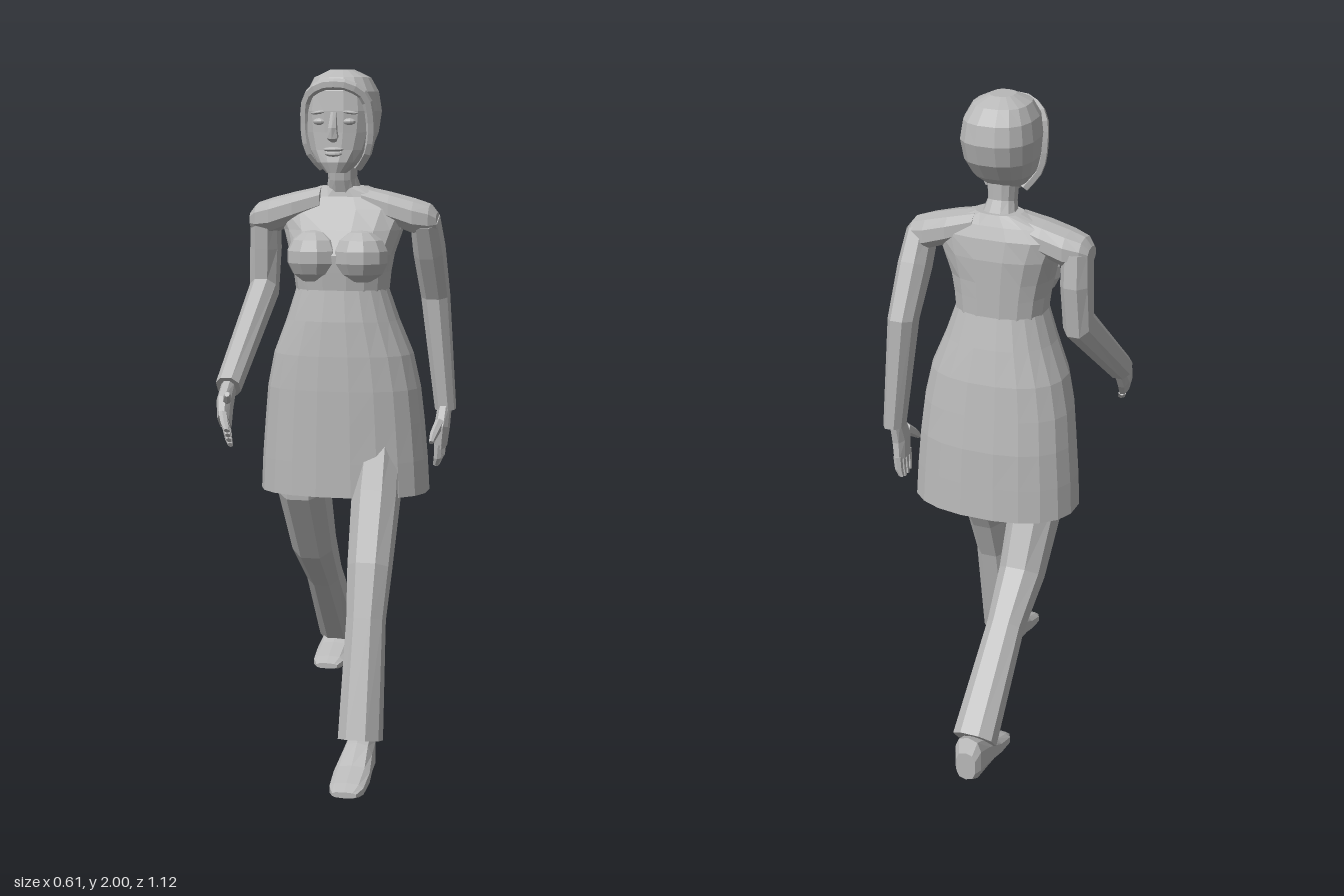
import * as THREE from 'three';

const V = (x, y, z) => new THREE.Vector3(x, y, z);
const X = V(1, 0, 0), Y = V(0, 1, 0), Z = V(0, 0, 1);
const grey = new THREE.MeshStandardMaterial({ color: 0xb8b8b8, side: THREE.DoubleSide });
grey.name = 'clay grey';

// Faceted mesh with a plain name
function part(name, geometry) {
  const g = geometry.index ? geometry.toNonIndexed() : geometry;
  g.computeVertexNormals();
  const mesh = new THREE.Mesh(g, grey);
  mesh.name = name;
  return mesh;
}

// Rounded-square ring around c, spanned by u and v
function ring(c, u, v, ru, rv, n, e = 0.85) {
  const round = (t) => Math.sign(t) * Math.pow(Math.abs(t), e);
  return Array.from({ length: n }, (_, i) => {
    const a = ((i + 0.5) / n) * Math.PI * 2;
    return c.clone().addScaledVector(u, ru * round(Math.cos(a))).addScaledVector(v, rv * round(Math.sin(a)));
  });
}

// Skin over a list of rings, turned outward
function loft(name, rings, capStart = true, capEnd = true) {
  const tris = [], n = rings[0].length;
  for (let r = 0; r < rings.length - 1; r++) {
    for (let i = 0; i < n; i++) {
      const j = (i + 1) % n;
      const a = rings[r][i], b = rings[r][j], c = rings[r + 1][j], d = rings[r + 1][i];
      tris.push([a, b, c], [a, c, d]);
    }
  }
  const cap = (pts, flip) => {
    const mid = pts.reduce((s, p) => s.add(p), V(0, 0, 0)).divideScalar(n);
    pts.forEach((p, i) => {
      const q = pts[(i + 1) % n];
      tris.push(flip ? [q, p, mid] : [p, q, mid]);
    });
  };
  if (capStart) cap(rings[0], true);
  if (capEnd) cap(rings[rings.length - 1], false);
  const centre = rings.flat().reduce((s, p) => s.add(p), V(0, 0, 0)).divideScalar(n * rings.length);
  let volume = 0;
  for (const [a, b, c] of tris) {
    volume += a.clone().sub(centre).dot(b.clone().sub(centre).cross(c.clone().sub(centre)));
  }
  if (volume < 0) tris.forEach((t) => t.reverse());
  return part(name, new THREE.BufferGeometry().setFromPoints(tris.flat()));
}

// Horizontal sections: [y, half width, front z, back z]
const body = (name, rows, n, capStart, capEnd, e) => loft(name, rows.map(([y, w, f, b]) =>
  ring(V(0, y, (f + b) / 2), X, Z, w, (f - b) / 2, n, e)), capStart, capEnd);

// Sections square to a path: [x, y, z, radius in x, radius across]
function limb(name, rows, n = 8) {
  const p = rows.map(([x, y, z]) => V(x, y, z));
  return loft(name, rows.map((row, i) => {
    const t = p[Math.min(i + 1, p.length - 1)].clone().sub(p[Math.max(i - 1, 0)]);
    return ring(p[i], X, t.cross(X).normalize(), row[3], row[4], n);
  }));
}

// Stretched low-poly ball
function ball(name, x, y, z, rx, ry, rz) {
  const mesh = part(name, new THREE.SphereGeometry(1, 10, 7).scale(rx, ry, rz));
  mesh.position.set(x, y, z);
  return mesh;
}

// Shoe: [z, bottom y, top y, half width]
function shoe(name, x, dy, dz) {
  const rows = [[0.31, 0.01, 0.1, 0.03], [0.33, 0, 0.14, 0.042], [0.39, 0, 0.115, 0.045],
    [0.46, 0.005, 0.07, 0.053], [0.53, 0, 0.042, 0.05], [0.56, 0.008, 0.025, 0.035]];
  return loft(name, rows.map(([z, b, t, w]) =>
    ring(V(x, (b + t) / 2 + dy, z + dz), X, Y, w, (t - b) / 2, 10, 0.7)));
}

export function createModel() {
  const model = new THREE.Group();
  model.name = 'walkingWoman';

  // Dress: open skirt, bodice, bust and shoulder caps
  model.add(body('skirt', [[1.37, 0.135, 0.14, -0.085], [1.28, 0.165, 0.152, -0.11], [1.18, 0.205, 0.158, -0.135],
    [1.08, 0.226, 0.16, -0.15], [0.98, 0.236, 0.16, -0.165], [0.87, 0.245, 0.16, -0.172],
    [0.77, 0.25, 0.16, -0.178]], 20, false, false));
  model.add(body('bodice', [[1.36, 0.135, 0.138, -0.085], [1.42, 0.142, 0.145, -0.085], [1.47, 0.152, 0.15, -0.085],
    [1.54, 0.175, 0.115, -0.085], [1.6, 0.2, 0.08, -0.075], [1.635, 0.15, 0.06, -0.06],
    [1.665, 0.07, 0.055, -0.045]], 16, false, true));
  for (const [side, s] of [['left', 1], ['right', -1]]) {
    model.add(ball(side + 'Bust', s * 0.068, 1.465, 0.1, 0.082, 0.078, 0.078));
    const rows = [[0.06, 1.625, 0.04, 0.06], [0.14, 1.6, 0.048, 0.072], [0.21, 1.578, 0.052, 0.07],
      [0.255, 1.57, 0.045, 0.055], [0.275, 1.565, 0.025, 0.035]];
    model.add(loft(side + 'Shoulder', rows.map(([x, y, ry, rz]) =>
      ring(V(s * x, y, s < 0 ? 0.015 : 0), Z, Y, rz, ry, 10))));
  }

  // Trousers and shoes in mid-stride
  model.add(limb('leftLeg', [[0.12, 1.0, 0.02, 0.06, 0.08], [0.118, 0.77, 0.112, 0.07, 0.082],
    [0.12, 0.58, 0.21, 0.064, 0.07], [0.12, 0.44, 0.26, 0.056, 0.062], [0.122, 0.11, 0.345, 0.063, 0.076]]));
  model.add(limb('rightLeg', [[-0.115, 1.0, 0.02, 0.07, 0.09], [-0.125, 0.77, -0.005, 0.075, 0.095],
    [-0.12, 0.58, -0.11, 0.066, 0.072], [-0.118, 0.46, -0.235, 0.054, 0.056],
    [-0.125, 0.22, -0.485, 0.064, 0.062]]));
  model.add(shoe('leftShoe', 0.122, 0, 0), shoe('rightShoe', -0.128, 0.12, -0.87));

  // Sleeves: left arm swings back, right arm reaches forward
  model.add(limb('leftSleeve', [[0.238, 1.57, 0.0, 0.042, 0.06], [0.243, 1.48, -0.045, 0.046, 0.062],
    [0.25, 1.34, -0.115, 0.042, 0.056], [0.28, 1.0, -0.127, 0.031, 0.042]]));
  model.add(limb('rightSleeve', [[-0.235, 1.57, 0.01, 0.042, 0.06], [-0.238, 1.48, 0.0, 0.044, 0.06],
    [-0.242, 1.36, 0.005, 0.042, 0.055], [-0.272, 1.105, 0.3, 0.036, 0.04]]));

  // Hands with thumb and fingers
  model.add(limb('leftHand', [[0.28, 1.02, -0.12, 0.02, 0.028], [0.275, 0.95, -0.095, 0.022, 0.044],
    [0.27, 0.89, -0.1, 0.018, 0.044]]));
  model.add(limb('leftThumb', [[0.272, 0.965, -0.07, 0.014, 0.018], [0.262, 0.935, -0.03, 0.012, 0.014],
    [0.258, 0.915, -0.008, 0.007, 0.008]], 6));
  model.add(limb('rightHand', [[-0.272, 1.11, 0.29, 0.02, 0.028], [-0.27, 1.06, 0.345, 0.022, 0.044],
    [-0.26, 1.015, 0.385, 0.018, 0.042]]));
  model.add(limb('rightThumb', [[-0.265, 1.075, 0.355, 0.014, 0.018], [-0.25, 1.085, 0.39, 0.012, 0.014],
    [-0.243, 1.1, 0.415, 0.007, 0.008]], 6));
  for (let i = 0; i < 4; i++) {
    const k = i - 1.5;
    model.add(limb('leftFinger', [[0.27, 0.9, -0.1 + k * 0.022, 0.013, 0.012],
      [0.266, 0.86, -0.103 + k * 0.021, 0.012, 0.011],
      [0.258, 0.83 + Math.abs(k) * 0.006, -0.108 + k * 0.018, 0.008, 0.008]], 6));
    model.add(limb('rightFinger', [[-0.26, 1.02 + k * 0.016, 0.38 + k * 0.014, 0.013, 0.012],
      [-0.248, 0.996 + k * 0.016, 0.408 + k * 0.013, 0.012, 0.011],
      [-0.236, 0.98 + k * 0.015, 0.43 + k * 0.012, 0.008, 0.008]], 6));
  }

  // Neck and head
  model.add(limb('neck', [[0, 1.77, 0.035, 0.045, 0.05], [0, 1.69, 0.028, 0.041, 0.044],
    [0, 1.65, 0.01, 0.052, 0.046], [0, 1.61, 0.0, 0.09, 0.055]], 12));
  model.add(body('head', [[1.705, 0.028, 0.15, 0.07], [1.735, 0.06, 0.158, 0.0], [1.77, 0.086, 0.15, -0.05],
    [1.82, 0.102, 0.148, -0.088], [1.88, 0.109, 0.148, -0.105], [1.935, 0.101, 0.142, -0.095],
    [1.975, 0.08, 0.115, -0.06], [1.997, 0.035, 0.07, -0.01]], 16, true, true, 0.82));

  // Hair edge framing the face
  const arch = [[-0.05, 1.72, 0.06], [-0.085, 1.77, 0.085], [-0.094, 1.85, 0.098], [-0.082, 1.92, 0.115],
    [-0.04, 1.95, 0.136], [0, 1.955, 0.14]].map((p) => V(...p));
  const path = arch.concat(arch.slice(0, -1).reverse().map((p) => V(-p.x, p.y, p.z)));
  model.add(part('hairEdge', new THREE.TubeGeometry(new THREE.CatmullRomCurve3(path), 22, 0.016, 6)));

  // Face
  model.add(limb('nose', [[0, 1.875, 0.145, 0.009, 0.008], [0, 1.83, 0.158, 0.013, 0.016],
    [0, 1.805, 0.158, 0.017, 0.014], [0, 1.797, 0.148, 0.01, 0.008]], 6));
  model.add(ball('upperLip', 0, 1.772, 0.15, 0.03, 0.007, 0.017));
  model.add(ball('lowerLip', 0, 1.759, 0.15, 0.025, 0.008, 0.016));
  for (const s of [-1, 1]) {
    model.add(ball('eye', s * 0.042, 1.85, 0.137, 0.02, 0.01, 0.014));
    const brow = ball('brow', s * 0.043, 1.876, 0.138, 0.026, 0.005, 0.012);
    brow.rotation.z = -s * 0.12;
    model.add(brow);
  }
  return model;
}
